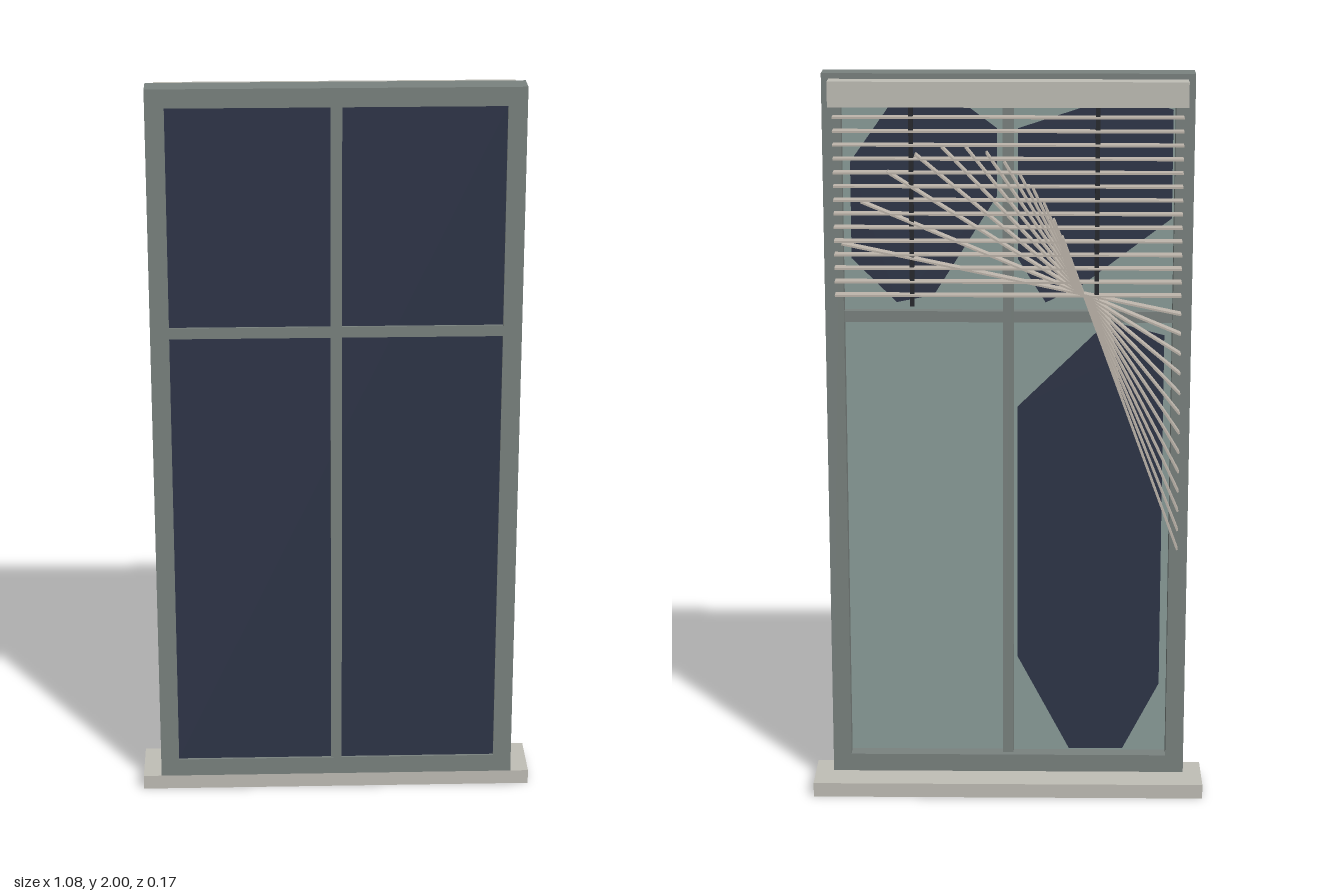
import * as THREE from 'three';

const mat = (name, color) => {
  const m = new THREE.MeshStandardMaterial({ color });
  m.name = name;
  return m;
};

export function createModel() {
  const group = new THREE.Group();
  const frameMat = mat('greyFrame', 0x7a827f);
  const sillMat = mat('paleStone', 0xc0beb6);
  const slatMat = mat('slatBeige', 0xbdb5ab);
  const cordMat = mat('darkCord', 0x26282d);
  const glassMat = mat('navyGlass', 0x2e3548);
  const paleMat = mat('paleGlass', 0x8b9d9a);

  const add = (name, geo, material) => {
    const mesh = new THREE.Mesh(geo, material);
    mesh.name = name;
    group.add(mesh);
    return mesh;
  };
  // box from its two opposite corners
  const box = (name, material, [x0, y0, z0], [x1, y1, z1]) => {
    const mesh = add(name, new THREE.BoxGeometry(x1 - x0, y1 - y0, z1 - z0), material);
    mesh.position.set((x0 + x1) / 2, (y0 + y1) / 2, (z0 + z1) / 2);
    return mesh;
  };
  const outline = (pts, Type = THREE.Shape) => new Type(pts.map(([x, y]) => new THREE.Vector2(x, y)));
  const rect = (x0, y0, x1, y1) => [[x0, y0], [x1, y0], [x1, y1], [x0, y1]];

  // sill and outer frame
  box('sill', sillMat, [-0.54, 0, -0.085], [0.54, 0.04, 0.08]);
  const frame = outline(rect(-0.49, 0.04, 0.49, 2));
  frame.holes.push(outline(rect(-0.44, 0.09, 0.44, 1.95), THREE.Path));
  const frameGeo = new THREE.ExtrudeGeometry(frame, { depth: 0.072, bevelEnabled: false });
  add('frame', frameGeo.translate(0, 0, 0.008), frameMat);

  // glazing bars
  box('verticalBar', frameMat, [-0.015, 0.09, 0.025], [0.015, 1.95, 0.079]);
  for (const s of [-1, 1]) {
    box('crossBar', frameMat, [s > 0 ? 0.015 : -0.44, 1.33, 0.025], [s > 0 ? 0.44 : -0.015, 1.36, 0.079]);
  }

  // glass: dark outside, pale inside
  box('outerGlass', glassMat, [-0.44, 0.09, 0.056], [0.44, 1.95, 0.073]);
  box('innerGlass', paleMat, [-0.44, 0.09, 0.05], [0.44, 1.95, 0.056]);

  // dark patches on the inner glass
  const patches = [
    [[-0.025, 0.37], [-0.17, 0.095], [-0.32, 0.095], [-0.42, 0.29], [-0.42, 1.29], [-0.27, 1.33], [-0.025, 1.09]],
    [[0.42, 1.5], [0.3, 1.38], [0.2, 1.4], [0.03, 1.67], [0.03, 1.85], [0.15, 1.94], [0.3, 1.93], [0.42, 1.76]],
    [[-0.025, 1.5], [-0.1, 1.38], [-0.2, 1.43], [-0.435, 1.61], [-0.435, 1.9], [-0.3, 1.94], [-0.025, 1.85]],
  ];
  for (const pts of patches) {
    const geo = new THREE.ExtrudeGeometry(outline(pts), { depth: 0.003, bevelEnabled: false });
    add('darkPatch', geo.translate(0, 0, 0.047), glassMat);
  }

  // blind: head rail and lift cords
  box('headRail', sillMat, [-0.47, 1.92, -0.058], [0.47, 1.987, -0.003]);
  for (const x of [-0.235, 0.255]) {
    box('liftCord', cordMat, [x - 0.006, 1.385, -0.027], [x + 0.006, 1.92, -0.015]);
  }

  // slats: level ones, then a fan slipping down about the right-hand cord
  const length = 0.92, slatGeo = new THREE.BoxGeometry(length, 0.005, 0.036);
  const slat = (name, endX, endY, angle) => {
    const mesh = add(name, slatGeo, slatMat);
    mesh.position.set(endX + Math.cos(angle) * length / 2, endY + Math.sin(angle) * length / 2, -0.021);
    mesh.rotation.z = angle;
  };
  for (let i = 0; i < 14; i++) slat('levelSlat', -0.46, 1.89 - i * 0.0365, 0);
  const fan = 13, pivotX = -0.2, pivotY = 1.42;
  for (let i = 1; i <= fan; i++) {
    const slope = 2.73 * i / fan;
    slat('fallenSlat', -0.46, pivotY - (pivotX + 0.46) * slope, Math.atan(slope));
  }
  return group;
}
